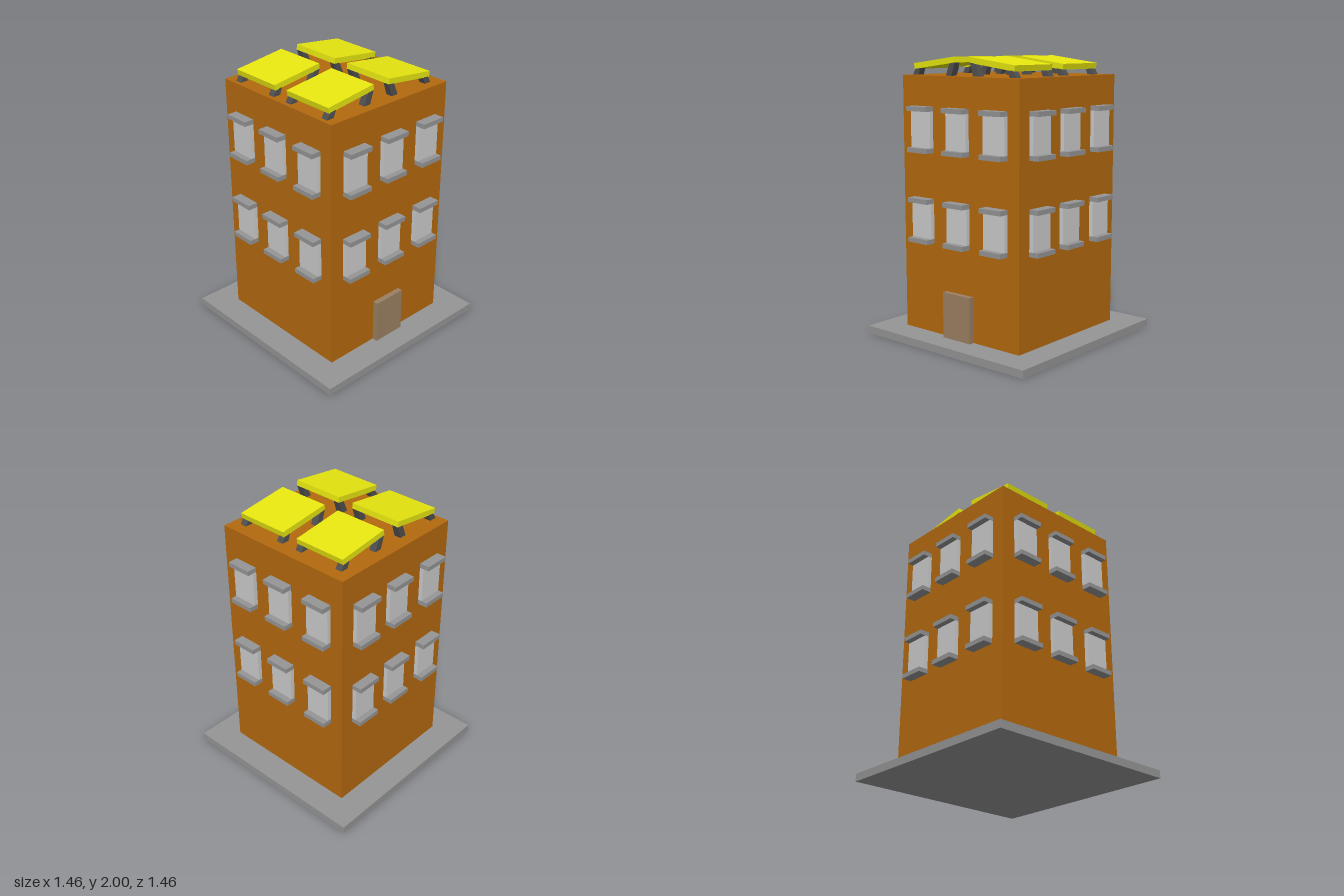
import * as THREE from 'three';

const mat = (color) => new THREE.MeshStandardMaterial({ color, flatShading: true });
const stone = mat(0x959595);
const glass = mat(0xcccccc);
const brick = mat(0xb4690f);
const wood = mat(0x9b8062);
const panelYellow = mat(0xe7e710);
const metal = mat(0x505050);

// Box given by its lower and upper corners
function box(name, material, [x0, y0, z0], [x1, y1, z1]) {
  const mesh = new THREE.Mesh(new THREE.BoxGeometry(x1 - x0, y1 - y0, z1 - z0), material);
  mesh.position.set((x0 + x1) / 2, (y0 + y1) / 2, (z0 + z1) / 2);
  mesh.name = name;
  return mesh;
}

// Prism with an outline in x and y, running from z = 0 to depth
function prism(name, material, points, depth, z) {
  const shape = new THREE.Shape(points.map(([x, y]) => new THREE.Vector2(x, y)));
  const mesh = new THREE.Mesh(new THREE.ExtrudeGeometry(shape, { depth, bevelEnabled: false }), material);
  mesh.position.z = z;
  mesh.name = name;
  return mesh;
}

const HALF = 0.53; // half width of the tower
const ROOF = 1.87;

// Window facing +z: pane with a lintel above and a sill below
function makeWindow(x, y0, y1) {
  const g = new THREE.Group();
  g.name = 'window';
  const w = 0.093, t = 0.033, back = HALF - 0.02;
  g.add(
    box('windowPane', glass, [x - w, y0 + t, back], [x + w, y1 - t, 0.56]),
    box('windowSill', stone, [x - w, y0, back], [x + w, y0 + t, 0.603]),
    box('windowLintel', stone, [x - w, y1 - t, back], [x + w, y1, 0.603])
  );
  return g;
}

// Tilted roof panel on four slanted legs; its high edge is at x = 0, low edge at -x
function makeSolarPanel() {
  const g = new THREE.Group();
  g.name = 'solarPanel';
  const depth = 0.393, legDepth = 0.05;
  g.add(prism('panelPlate', panelYellow,
    [[-0.39, 1.95], [-0.383, 1.91], [0.005, 1.96], [0, 2.0]], depth, 0));
  for (const z of [0, depth - legDepth]) {
    g.add(
      prism('lowLeg', metal, [[-0.4, ROOF], [-0.345, ROOF], [-0.325, 1.92], [-0.375, 1.914]], legDepth, z),
      prism('highLeg', metal, [[-0.08, ROOF], [-0.027, ROOF], [0.003, 1.962], [-0.045, 1.955]], legDepth, z)
    );
  }
  return g;
}

export function createModel() {
  const model = new THREE.Group();
  model.name = 'building';

  model.add(
    box('basePlate', stone, [-0.73, 0, -0.73], [0.73, 0.055, 0.73]),
    box('tower', brick, [-HALF, 0.055, -HALF], [HALF, ROOF, HALF]),
    box('door', wood, [-0.125, 0.055, HALF - 0.02], [0.125, 0.38, 0.57])
  );

  // Two rows of three windows on each side
  ['front', 'left', 'back', 'right'].forEach((name, i) => {
    const side = new THREE.Group();
    side.name = name + 'Windows';
    const middle = [0, -0.007, -0.007, 0][i];
    for (const [y0, y1] of [[0.703, 1.02], [1.34, 1.66]]) {
      for (const x of [-0.333, middle, 0.337]) side.add(makeWindow(x, y0, y1));
    }
    side.rotation.y = i * Math.PI / 2;
    model.add(side);
  });

  // Four roof panels, the pairs rising towards the middle
  for (const z of [-0.445, 0.068]) {
    const right = makeSolarPanel();
    right.position.set(-0.1, 0, z);
    const left = makeSolarPanel();
    left.rotation.y = Math.PI;
    left.position.set(0.045, 0, z + 0.393);
    model.add(right, left);
  }
  return model;
}
